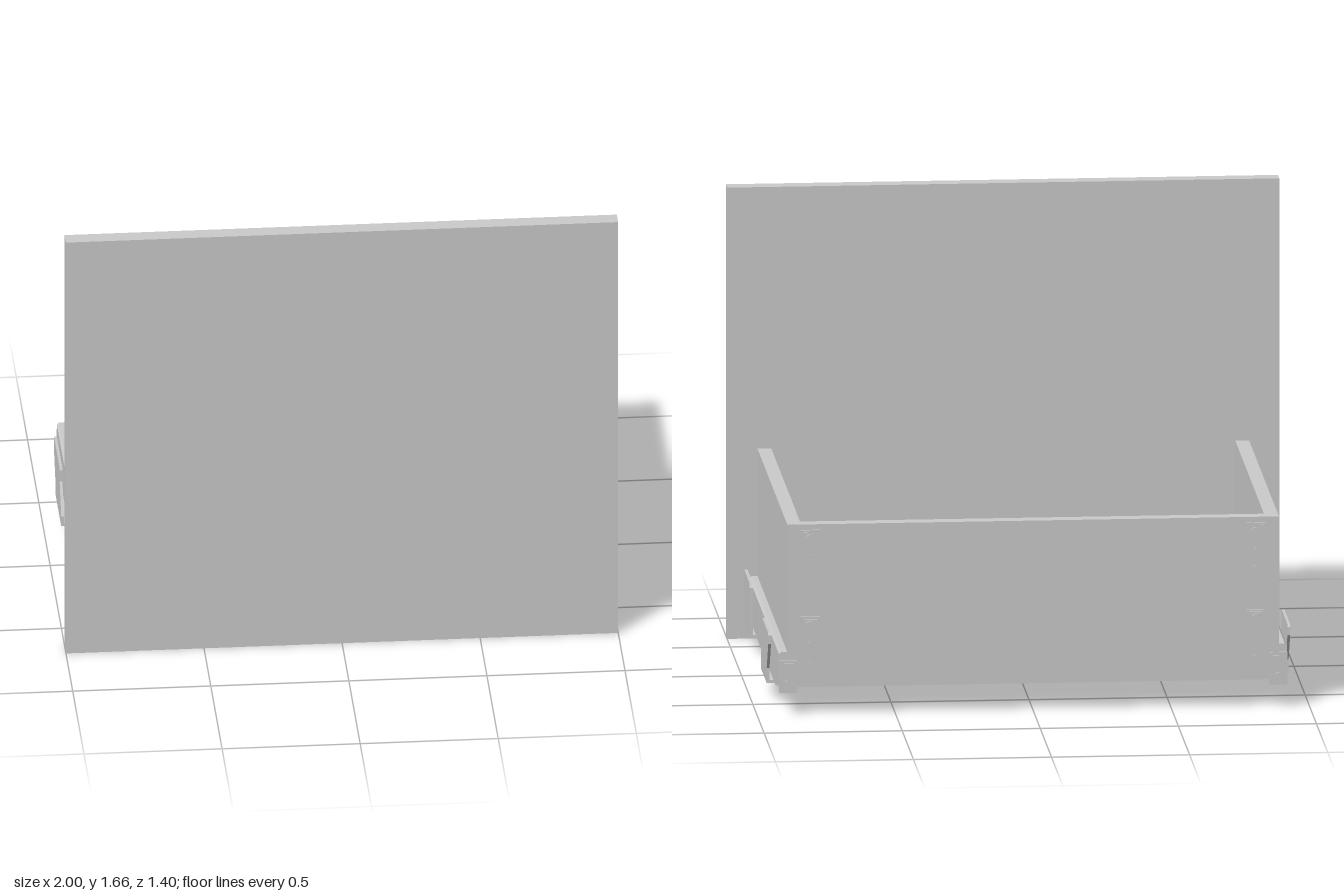
import * as THREE from 'three';

const material = new THREE.MeshStandardMaterial({ color: 0xcccccc });

function add(parent, name, geometry) {
  const mesh = new THREE.Mesh(geometry, material);
  mesh.name = name;
  parent.add(mesh);
  return mesh;
}

// Box given by its extents on each axis
function box(parent, name, [x0, x1], [y0, y1], [z0, z1]) {
  const mesh = add(parent, name, new THREE.BoxGeometry(x1 - x0, y1 - y0, z1 - z0));
  mesh.position.set((x0 + x1) / 2, (y0 + y1) / 2, (z0 + z1) / 2);
  return mesh;
}

// Upright plate with an outline in (z, y), extruded along x
function sidePlate(parent, name, points, x0, x1) {
  const shape = new THREE.Shape(points.map(([z, y]) => new THREE.Vector2(-z, y)));
  const geometry = new THREE.ExtrudeGeometry(shape, { depth: x1 - x0, bevelEnabled: false });
  geometry.rotateY(Math.PI / 2).translate(x0, 0, 0);
  return add(parent, name, geometry);
}

// Rail with a cross-section in (x, y), extruded along z
function rail(parent, name, points, z0, z1) {
  const shape = new THREE.Shape(points.map(([x, y]) => new THREE.Vector2(x, y)));
  const geometry = new THREE.ExtrudeGeometry(shape, { depth: z1 - z0, bevelEnabled: false });
  return add(parent, name, geometry.translate(0, 0, z0));
}

// Round screw head on the back
function screw(parent, name, x, y, z0, z1, radius) {
  const geometry = new THREE.CylinderGeometry(radius, radius, z1 - z0, 20).rotateX(Math.PI / 2);
  add(parent, name, geometry).position.set(x, y, (z0 + z1) / 2);
}

// Mounting plate on the back panel: slim plate, pivot disc and two screws
function backFitting(parent, x, y0, y1) {
  const fitting = new THREE.Group();
  fitting.name = 'backFitting';
  box(fitting, 'fittingPlate', [x - 0.035, x + 0.035], [y0, y1], [-0.692, -0.684]);
  box(fitting, 'fittingHead', [x - 0.026, x + 0.026], [y1 - 0.055, y1 - 0.008], [-0.697, -0.69]);
  screw(fitting, 'fittingDisc', x, y1 - 0.034, -0.703, -0.69, 0.02);
  screw(fitting, 'fittingScrew', x, y1 - 0.1, -0.696, -0.69, 0.01);
  screw(fitting, 'fittingScrew', x, y0 + 0.035, -0.696, -0.69, 0.01);
  parent.add(fitting);
}

function createSide() {
  const side = new THREE.Group();
  box(side, 'sideWall', [0.84, 0.89], [0.1, 0.7], [-0.684, 0.64]);

  // Slide: tall outer profile with a chamfered top, and a shallow rail below
  rail(side, 'slideProfile', [
    [0.885, 0.1], [0.92, 0.1], [0.92, 0.222], [0.912, 0.23], [0.885, 0.23],
  ], -0.68, 0.64);
  rail(side, 'lowerRail', [
    [0.835, 0.085], [0.85, 0.075], [0.92, 0.075], [0.92, 0.101], [0.835, 0.101],
  ], -0.53, 0.64);
  box(side, 'lowerRailTail', [0.86, 0.91], [0.088, 0.1], [-0.67, -0.53]);

  // Front cabinet bracket with a foot folded under the slide
  sidePlate(side, 'frontBracket', [
    [0.6, 0.07], [0.345, 0.07], [0.345, 0.25], [0.355, 0.265], [0.59, 0.265], [0.6, 0.25],
  ], 0.93, 0.942);
  box(side, 'frontBracketFoot', [0.85, 0.942], [0.067, 0.076], [0.345, 0.6]);

  // Rear cabinet bracket, stepped backward toward its top
  sidePlate(side, 'rearBracket', [
    [-0.18, 0.067], [-0.44, 0.067], [-0.44, 0.12], [-0.512, 0.225], [-0.512, 0.255],
    [-0.502, 0.265], [-0.255, 0.265], [-0.25, 0.255], [-0.25, 0.21], [-0.18, 0.105],
  ], 0.935, 0.945);
  box(side, 'rearBracketFoot', [0.85, 0.945], [0.065, 0.076], [-0.44, -0.18]);

  // Hooked end of the slide
  const end = new THREE.Group();
  end.name = 'slideEnd';
  box(end, 'slideEndPlate', [0.855, 0.92], [0.08, 0.2], [-0.688, -0.678]);
  box(end, 'slideEndHook', [0.868, 0.908], [0.15, 0.19], [-0.695, -0.686]);
  screw(end, 'slideEndPin', 0.888, 0.115, -0.695, -0.686, 0.012);
  side.add(end);

  backFitting(side, 0.807, 0.48, 0.68);
  backFitting(side, 0.807, 0.15, 0.36);
  return side;
}

export function createModel() {
  const drawer = new THREE.Group();
  drawer.name = 'drawer';

  box(drawer, 'frontPanel', [-1, 1], [0, 1.665], [0.64, 0.7]);
  box(drawer, 'backPanel', [-0.84, 0.84], [0.1, 0.7], [-0.684, -0.632]);
  box(drawer, 'floorPanel', [-0.84, 0.84], [0.1, 0.15], [-0.632, 0.64]);

  // Left side as built, right side mirrored
  const left = createSide();
  left.name = 'leftSide';
  const right = createSide();
  right.name = 'rightSide';
  right.scale.x = -1;
  drawer.add(left, right);
  return drawer;
}
